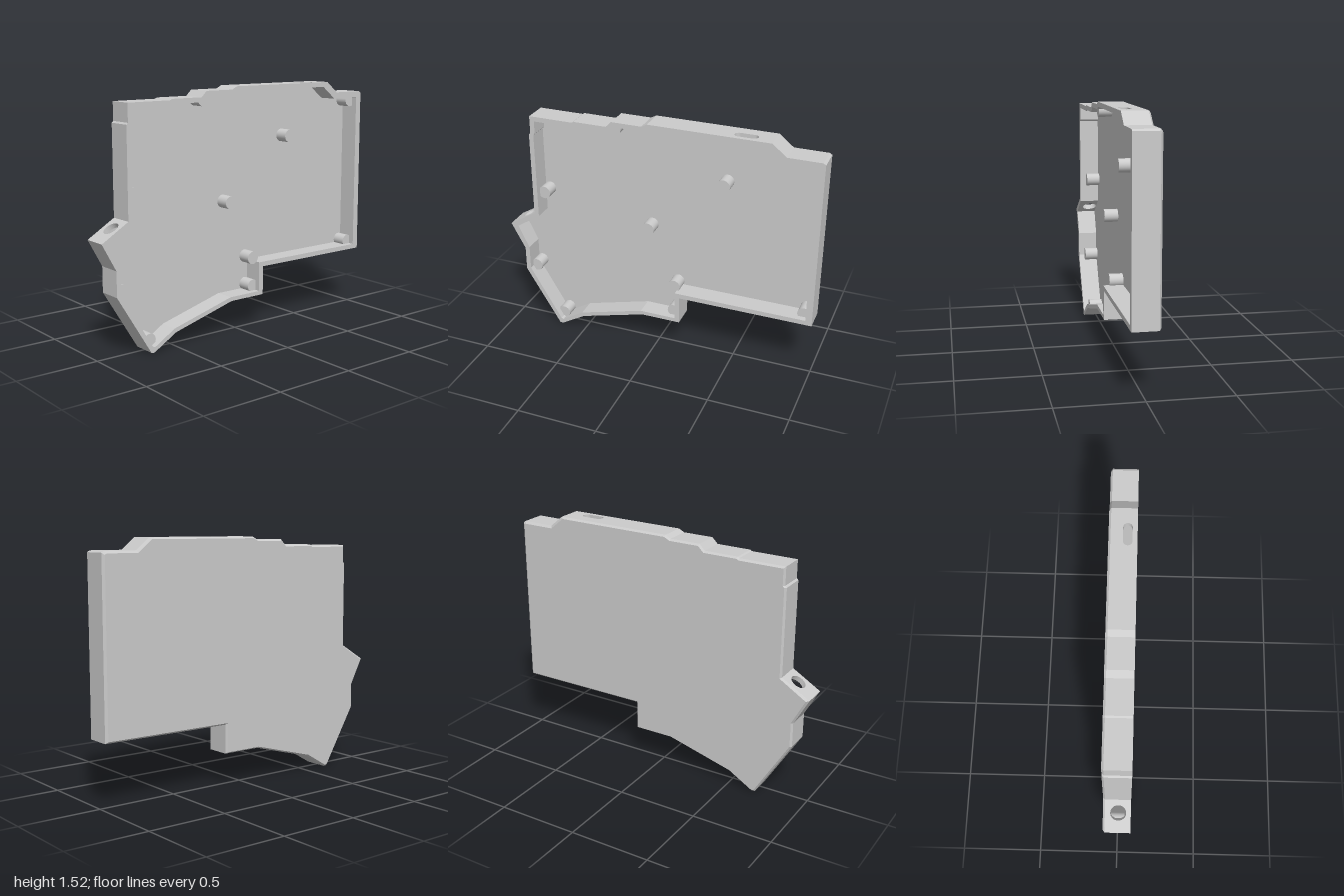
import * as THREE from 'three';
import { mergeGeometries } from 'three/addons/utils/BufferGeometryUtils.js';

const FRONT = 0.082, BACK = -0.082, CHAMFER = -0.07, FLOOR = -0.04, POST_TOP = 0.045;

// Case outline, clockwise from the bottom tip: outer x, y and matching inner x, y
const OUTLINE = [
  [-0.685, 0.005, -0.675, 0.04], [-0.91, 0.375, -0.88, 0.385], [-0.91, 0.53, -0.88, 0.54],
  [-1, 0.695, -0.95, 0.685], [-0.825, 0.80, -0.795, 0.785], [-0.825, 1.34, -0.795, 1.34],
  [-0.815, 1.35, -0.785, 1.35], [-0.815, 1.46, -0.785, 1.43], [-0.53, 1.46, -0.525, 1.43],
  [-0.52, 1.467, -0.515, 1.438], [-0.31, 1.467, -0.30, 1.438], [-0.275, 1.502, -0.265, 1.472],
  [-0.085, 1.502, -0.08, 1.472], [-0.05, 1.52, -0.04, 1.49], [0.695, 1.52, 0.66, 1.49],
  [0.78, 1.45, 0.76, 1.41], [0.985, 1.45, 0.955, 1.41], [1, 1.44, 0.96, 1.405],
  [1, 0.39, 0.96, 0.42], [0.16, 0.39, 0.13, 0.42], [0.16, 0.21, 0.13, 0.235],
  [-0.09, 0.21, -0.10, 0.235], [-0.51, 0.095, -0.52, 0.12], [-0.665, 0.003, -0.66, 0.035],
];
// Wall openings by edge number: centre, half straight length, radius
const OPENINGS = {
  3: { x: -0.895, y: 0.76, z: 0.008, half: 0, r: 0.047 },
  13: { x: 0.53, y: 1.52, z: 0.027, half: 0.043, r: 0.027 },
};
const POSTS = [
  [-0.27, 1.45], [0.94, 1.39], [0.41, 1.19], [-0.765, 0.94], [-0.065, 0.815],
  [0.11, 0.445], [0.94, 0.44], [0.11, 0.265], [-0.855, 0.395], [-0.67, 0.07],
];

const loopAt = (t, z) => OUTLINE.map(([ox, oy, ix, iy]) =>
  new THREE.Vector3(ox + (ix - ox) * t, oy + (iy - oy) * t, z));

// Flat-shaded band of quads between two closed loops
function strip(a, b) {
  const p = [];
  a.forEach((v, i) => {
    const j = (i + 1) % a.length;
    for (const q of [v, a[j], b[j], v, b[j], b[i]]) p.push(q.x, q.y, q.z);
  });
  const g = new THREE.BufferGeometry();
  g.setAttribute('position', new THREE.Float32BufferAttribute(p, 3));
  g.computeVertexNormals();
  return g;
}

// Upright wall face from a to b, with an optional opening
function panel(a, b, z0, z1, hole) {
  const u = new THREE.Vector3().subVectors(b, a).setZ(0);
  const len = u.length();
  u.normalize();
  const z = new THREE.Vector3(0, 0, 1);
  const shape = new THREE.Shape([[0, z0], [len, z0], [len, z1], [0, z1]].map(([x, y]) => new THREE.Vector2(x, y)));
  if (hole) {
    shape.holes.push(new THREE.Path(hole.map(p =>
      new THREE.Vector2((p.x - a.x) * u.x + (p.y - a.y) * u.y, p.z))));
  }
  const m = new THREE.Matrix4().makeBasis(u, z, u.clone().cross(z)).setPosition(a.x, a.y, 0);
  return plain(new THREE.ShapeGeometry(shape).applyMatrix4(m));
}

// Rounded slot (or circle) projected on the wall line from a to b
function openingLoop(a, b, { x, y, z, half, r }) {
  const u = new THREE.Vector3().subVectors(b, a).setZ(0).normalize();
  const d = (x - a.x) * u.x + (y - a.y) * u.y;
  const pts = [];
  for (let side = 0; side < 2; side++) {
    for (let k = 0; k <= 16; k++) {
      if (half === 0 && k === 16) continue;
      const t = -Math.PI / 2 + side * Math.PI + (k / 16) * Math.PI;
      const s = d + (side ? -half : half) + r * Math.cos(t);
      pts.push(new THREE.Vector3(a.x + u.x * s, a.y + u.y * s, z + r * Math.sin(t)));
    }
  }
  return pts;
}

function plain(g) {
  const out = g.index ? g.toNonIndexed() : g;
  out.deleteAttribute('uv');
  return out;
}

export function createModel() {
  const model = new THREE.Group();
  const material = new THREE.MeshStandardMaterial({ color: 0xcccccc });
  const add = (name, geometry, parent = model) => {
    const mesh = new THREE.Mesh(geometry, material);
    mesh.name = name;
    parent.add(mesh);
    return mesh;
  };

  // Side walls, with the round cable hole and the port slot
  const outer = loopAt(0, 0), inner = loopAt(1, 0);
  const outside = [], inside = [], linings = [];
  outer.forEach((a, i) => {
    const j = (i + 1) % outer.length;
    let holeOut, holeIn;
    if (OPENINGS[i]) {
      holeOut = openingLoop(a, outer[j], OPENINGS[i]);
      holeIn = openingLoop(inner[i], inner[j], OPENINGS[i]);
      linings.push(strip(holeIn, holeOut));
    }
    outside.push(panel(outer[j], a, CHAMFER, FRONT, holeOut));
    inside.push(panel(inner[i], inner[j], FLOOR, FRONT, holeIn));
  });
  add('outerWalls', mergeGeometries(outside));
  add('innerWalls', mergeGeometries(inside));
  add('wallOpenings', mergeGeometries(linings));

  // Front rim and chamfered back edge
  add('rim', strip(loopAt(1, FRONT), loopAt(0, FRONT)));
  add('backChamfer', strip(loopAt(0, CHAMFER), loopAt(0.35, BACK)));

  // Tray floor and back face
  const floor = new THREE.ShapeGeometry(new THREE.Shape(inner.map(p => new THREE.Vector2(p.x, p.y))));
  add('trayFloor', floor).position.z = FLOOR;
  const back = new THREE.ShapeGeometry(new THREE.Shape(loopAt(0.35, 0).map(p => new THREE.Vector2(-p.x, p.y))));
  add('backFace', back.rotateY(Math.PI)).position.z = BACK;

  // Mounting posts
  const posts = new THREE.Group();
  posts.name = 'mountingPosts';
  model.add(posts);
  const length = POST_TOP - FLOOR + 0.01;
  const postGeometry = new THREE.CylinderGeometry(0.04, 0.04, length, 32).rotateX(Math.PI / 2);
  for (const [x, y] of POSTS) {
    add('mountingPost', postGeometry, posts).position.set(x, y, POST_TOP - length / 2);
  }
  return model;
}
